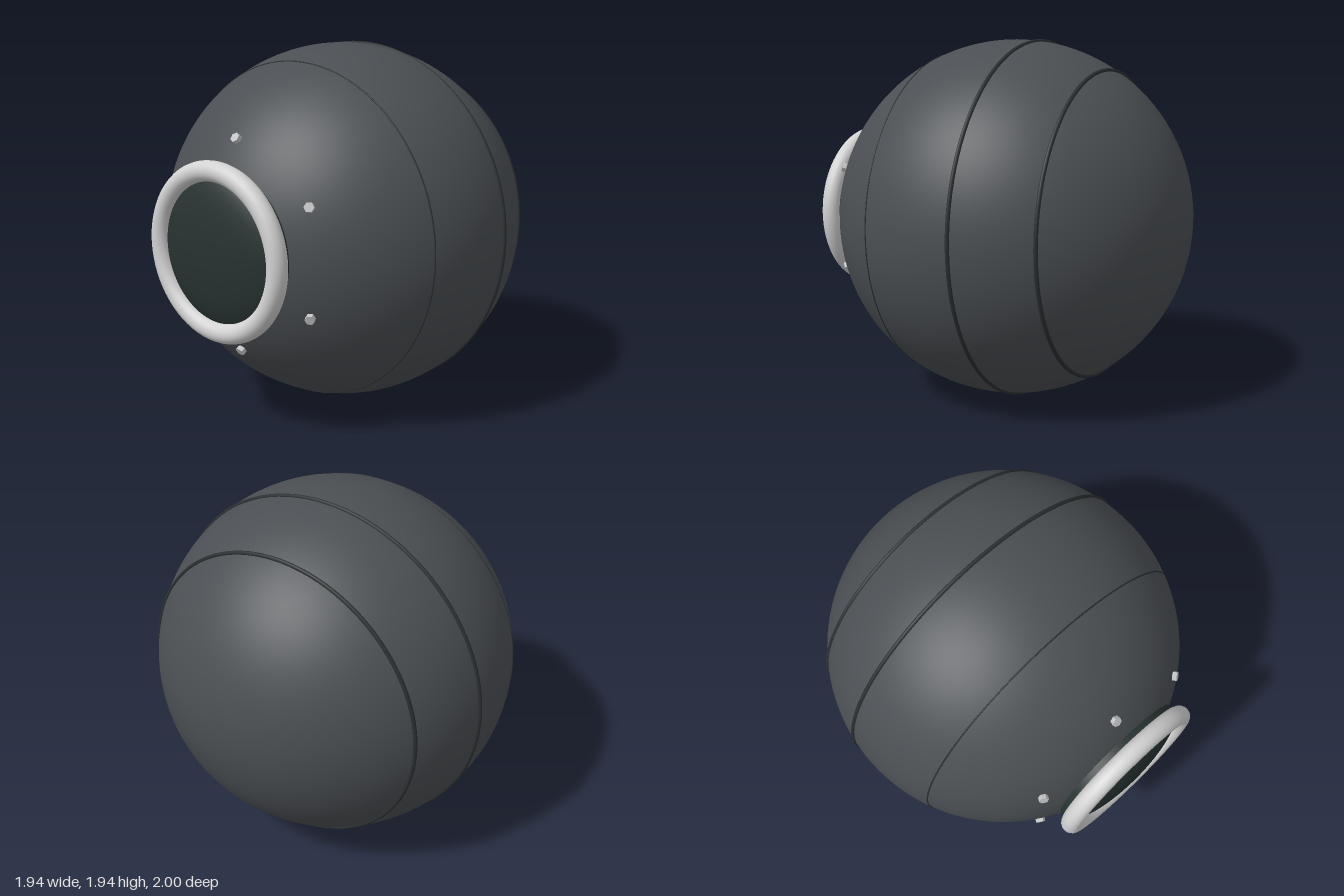
import * as THREE from 'three';

const CY = 0.978, CZ = -0.03, R = 0.968;

export function createModel() {
  const mat = (name, color) => {
    const m = new THREE.MeshStandardMaterial({ color });
    m.name = name;
    return m;
  };
  const shellMat = mat('charcoal shell', 0x4b4f53);
  const bandMat = mat('dark band', 0x2b2f31);
  const glassMat = mat('dark glass', 0x273231);
  const rimMat = mat('pale rim', 0xd2d2d2);
  const boltMat = mat('bolt metal', 0xc2c4c5);

  const model = new THREE.Group();
  const add = (name, geometry, material, z) => {
    const mesh = new THREE.Mesh(geometry, material);
    mesh.name = name;
    mesh.position.set(0, CY, z);
    model.add(mesh);
    return mesh;
  };

  // Spherical hull, poles along z
  add('hull', new THREE.SphereGeometry(R, 96, 64).rotateX(Math.PI / 2), shellMat, CZ);

  // Bands and the fine seam around the hull
  const ringAt = (name, z, tube, material) => {
    const radius = Math.sqrt(R * R - (z - CZ) ** 2);
    add(name, new THREE.TorusGeometry(radius, tube, 10, 128), material, z);
  };
  ringAt('rearBand', -0.563, 0.011, bandMat);
  ringAt('middleBand', -0.173, 0.011, bandMat);
  ringAt('frontSeam', 0.345, 0.004, bandMat);

  // Porthole: collar, pale rim and bulging glass
  add('portholeCollar', new THREE.CylinderGeometry(0.406, 0.406, 0.1, 64).rotateX(Math.PI / 2), glassMat, 0.85);
  add('portholeRim', new THREE.TorusGeometry(0.408, 0.052, 20, 96), rimMat, 0.932);
  const dome = new THREE.SphereGeometry(0.4, 64, 20, 0, Math.PI * 2, 0, Math.PI / 2)
    .rotateX(Math.PI / 2).scale(1, 1, 0.275);
  add('portholeGlass', dome, glassMat, 0.888);

  // Six hexagonal bolts standing on the hull
  const boltGeo = new THREE.CylinderGeometry(0.026, 0.026, 0.036, 6).toNonIndexed();
  boltGeo.computeVertexNormals();
  const up = new THREE.Vector3(0, 1, 0);
  const spread = Math.asin(0.548 / 0.976);
  for (let i = 0; i < 6; i++) {
    const a = Math.PI / 2 + i * Math.PI / 3;
    const normal = new THREE.Vector3(
      Math.cos(a) * Math.sin(spread), Math.sin(a) * Math.sin(spread), Math.cos(spread));
    const bolt = add('bolt' + (i + 1), boltGeo, boltMat, 0);
    bolt.position.set(0, CY, CZ).addScaledVector(normal, 0.974);
    bolt.quaternion.setFromUnitVectors(up, normal);
  }
  return model;
}
